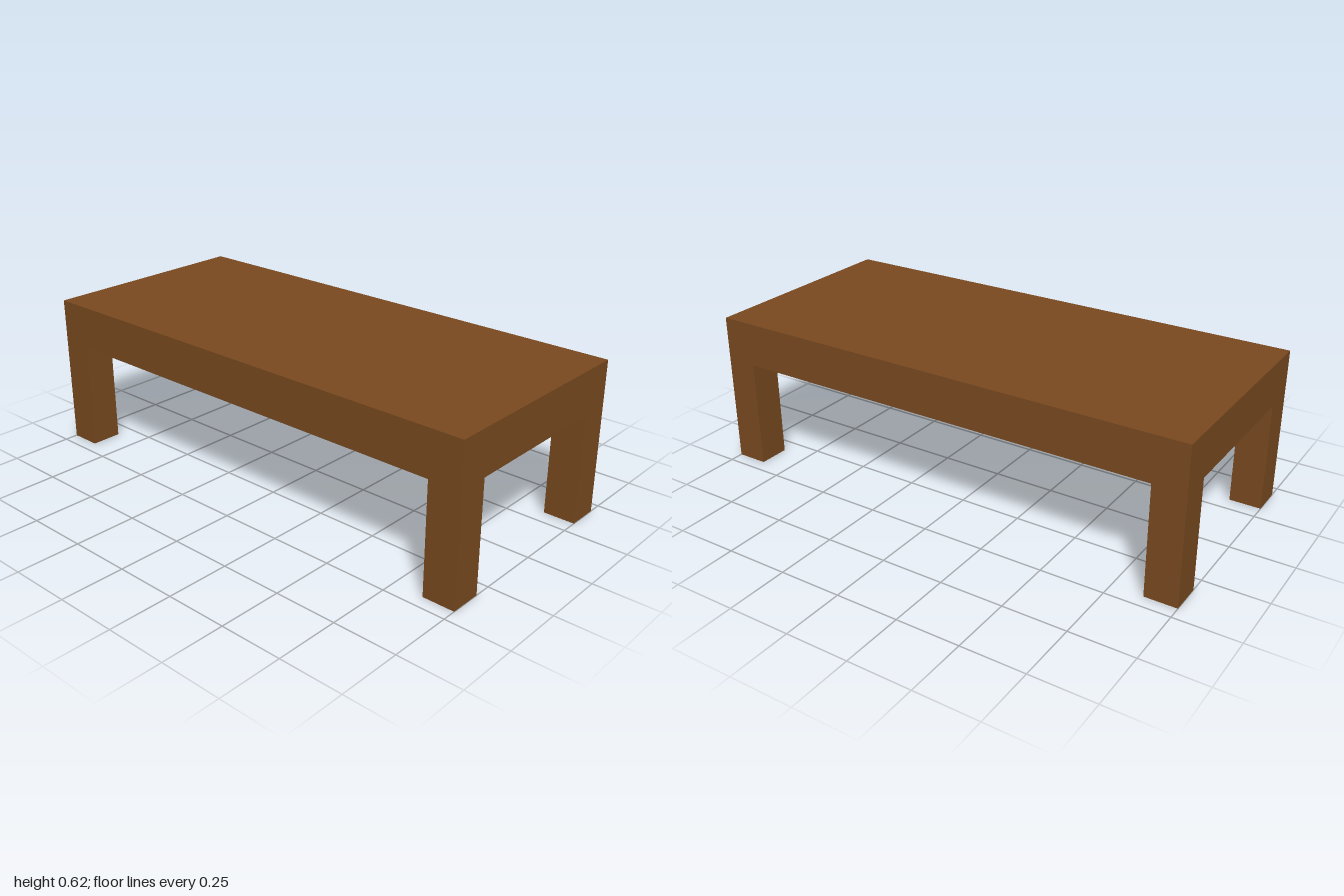
import * as THREE from 'three';

const WIDTH = 2, DEPTH = 0.89, HEIGHT = 0.615;
const LEG_HEIGHT = 0.438, LEG_SIZE = 0.127;

export function createModel() {
  const table = new THREE.Group();
  table.name = 'table';

  const brownWood = new THREE.MeshStandardMaterial({ color: 0x7a4a20 });
  brownWood.name = 'brownWood';

  // Thick solid top
  const topThickness = HEIGHT - LEG_HEIGHT;
  const top = new THREE.Mesh(new THREE.BoxGeometry(WIDTH, topThickness, DEPTH), brownWood);
  top.name = 'tableTop';
  top.position.y = LEG_HEIGHT + topThickness / 2;
  table.add(top);

  // Four square legs, flush with the corners of the top
  const legGeometry = new THREE.BoxGeometry(LEG_SIZE, LEG_HEIGHT, LEG_SIZE);
  for (const [sideX, nameX] of [[1, 'Left'], [-1, 'Right']]) {
    for (const [sideZ, nameZ] of [[1, 'front'], [-1, 'back']]) {
      const leg = new THREE.Mesh(legGeometry, brownWood);
      leg.name = `${nameZ}${nameX}Leg`;
      leg.position.set(
        sideX * (WIDTH - LEG_SIZE) / 2,
        LEG_HEIGHT / 2,
        sideZ * (DEPTH - LEG_SIZE) / 2
      );
      table.add(leg);
    }
  }

  return table;
}
